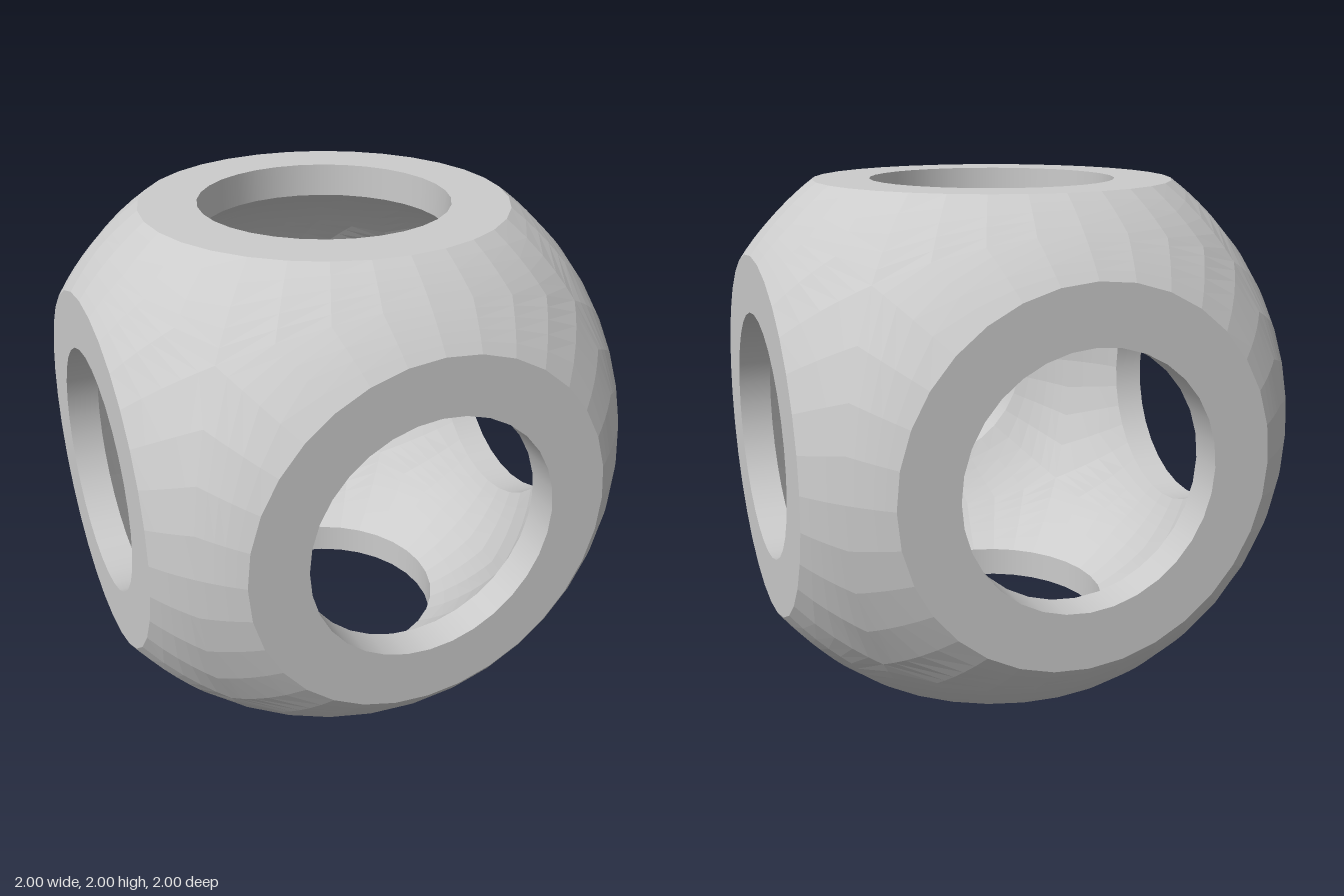
import * as THREE from 'three';

const SIDES = 32;           // segments round each opening
const HOLE = 0.5;           // opening radius
const RIM = 0.73;           // outer radius of the flat rim
const OUTER = Math.hypot(1, RIM);
const INNER = 1;
const INNER_Z = Math.sqrt(INNER * INNER - HOLE * HOLE); // where a bore meets the cavity

// One sixth of a sphere facing +z, with a round opening in the middle.
// Runs from the circle out to the square edge shared with its neighbours.
function spherePatch(radius, openingSlope, bands, outward) {
  const geo = new THREE.PlaneGeometry(1, 1, SIDES, bands);
  const pos = geo.attributes.position;
  const p = new THREE.Vector3();
  for (let i = 0; i < pos.count; i++) {
    const a = (pos.getX(i) + 0.5) * Math.PI * 2 * (outward ? -1 : 1);
    const t = pos.getY(i) + 0.5;
    const c = Math.cos(a), s = Math.sin(a);
    const edge = 1 / Math.max(Math.abs(c), Math.abs(s));
    const r = THREE.MathUtils.lerp(openingSlope, edge, t);
    p.set(c * r, s * r, 1).setLength(radius);
    pos.setXYZ(i, p.x, p.y, p.z);
  }
  geo.computeVertexNormals();
  return geo;
}

export function createModel() {
  const model = new THREE.Group();
  model.name = 'hollowBall';

  const faceted = new THREE.MeshStandardMaterial({ color: 0xcccccc, flatShading: true });
  const smooth = new THREE.MeshStandardMaterial({ color: 0xcccccc, side: THREE.DoubleSide });

  // Flat rim and short bore of one opening
  const rim = new THREE.RingGeometry(HOLE, RIM, SIDES).translate(0, 0, 1);
  const bore = new THREE.CylinderGeometry(HOLE, HOLE, 1 - INNER_Z, SIDES, 1, true)
    .rotateX(Math.PI / 2)
    .translate(0, 0, (1 + INNER_Z) / 2);

  const parts = [
    ['outerShell', spherePatch(OUTER, RIM, 5, true), faceted],
    ['innerShell', spherePatch(INNER, HOLE / INNER_Z, 6, false), faceted],
    ['rim', rim, smooth],
    ['bore', bore, smooth],
  ];

  // The same section on all six sides
  const q = Math.PI / 2;
  const sides = {
    front: [0, 0], left: [0, q], back: [0, 2 * q], right: [0, -q], top: [-q, 0], bottom: [q, 0],
  };
  for (const [side, [rx, ry]] of Object.entries(sides)) {
    const section = new THREE.Group();
    section.name = side + 'Section';
    section.rotation.set(rx, ry, 0);
    section.position.y = 1;
    for (const [name, geo, mat] of parts) {
      const mesh = new THREE.Mesh(geo, mat);
      mesh.name = name;
      section.add(mesh);
    }
    model.add(section);
  }
  return model;
}
